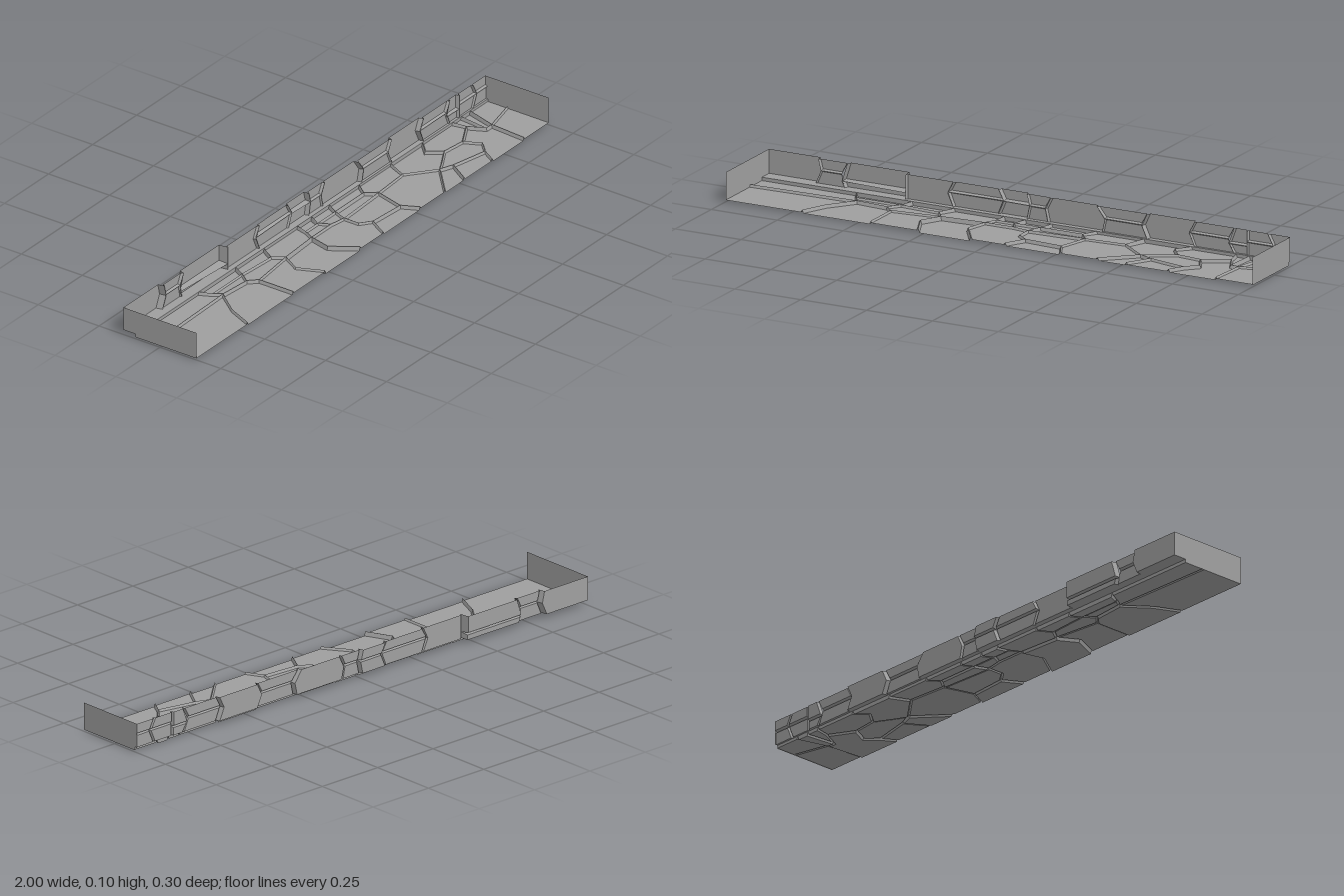
import * as THREE from 'three';

const material = new THREE.MeshStandardMaterial({ color: 0x9f9f9f, flatShading: true, side: THREE.DoubleSide });
const INSET = 0.45; // half the width of a joint, in hundredths like all outlines below

// Corners where the floor joints meet: x, z
const joints = [
  [-100, -10], [-100, -2], [-100, 15], [-64, -10], [-62, -6], [-60, -3], [-67, 6], [-71, 15],
  [-43, -10], [-45, -6], [-48, -2], [-45, 1], [-45, 15], [-27, -10], [-30, -5], [-27, -1],
  [-31, 6], [-27, 15], [-8, -10], [-9, -6], [-11, -2], [-13, 6], [-9, 12], [-7, 15],
  [0, -10], [-2, -6], [0, -2], [8, -6], [10, -10], [6, -1], [6, 5], [10, 8],
  [6, 15], [27, -10], [24, -6], [27, -2], [24, 9], [27, 15], [45, -10], [42, -3],
  [52, 5], [41, 15], [63, -10], [59, -6], [63, -1], [56, 3], [57, 7], [52, 15],
  [72, 0], [75, 6], [71, 10], [68, 15], [80, -10], [81, -5], [84, 1], [86, 15],
  [85, -10], [90, -10], [87, 1], [100, -10], [100, -2], [100, 15],
];
// Stones beside the wall, then stones towards the open front
const innerStones = [
  [0, 3, 4, 5, 1], [3, 8, 9, 4], [4, 9, 10, 5], [8, 13, 14, 9], [9, 14, 15, 11, 10],
  [13, 18, 19, 20, 15, 14], [18, 24, 25, 19], [19, 25, 26, 20], [24, 28, 27, 25], [25, 27, 29, 26],
  [28, 33, 34, 27], [27, 34, 35, 29], [33, 38, 39, 35, 34], [38, 42, 43, 44, 45, 40, 39],
  [42, 52, 53, 48, 44, 43], [52, 56, 54, 53], [56, 57, 58, 54], [57, 59, 60, 58],
];
const frontStones = [
  [1, 5, 6, 7, 2], [5, 10, 11, 12, 7, 6], [11, 15, 16, 17, 12], [15, 20, 21, 22, 23, 17, 16],
  [20, 26, 29, 30, 31, 32, 23, 22, 21], [29, 35, 36, 31, 30], [31, 36, 37, 32], [35, 39, 40, 41, 37, 36],
  [40, 46, 47, 41], [45, 44, 48, 49, 50, 46, 40], [46, 50, 51, 47],
  [48, 53, 54, 58, 55, 51, 50, 49], [58, 60, 61, 55],
];

// Wall seams: x at the top, middle and bottom
const seams = [
  [-100, -100, -100], [-80, -79, -81], [-69, -71, -70], [-46, -46, -46], [-28, -30, -28],
  [-11, -9, -11], [0, 1, 0], [9, 7, 8], [27, 30, 29], [46, 44, 46], [64, 62, 64],
  [79, 77, 79], [84, 84, 84], [92, 94, 92], [100, 100, 100],
];
// Per wall column: how far back it stands, and the height of its split (0 = one stone)
const columns = [
  [15, 0], [13.5, 6.5], [14.5, 4], [12, 0], [12.4, 6.7], [13, 6.5], [12, 6.5],
  [12, 0], [11.2, 6.5], [12, 0], [11.2, 6.5], [11.3, 5], [11, 6.5], [11, 6.5],
];

// Moves every edge of an outline inwards by its own distance
function insetOutline(pts, distances) {
  const n = pts.length;
  const sign = THREE.ShapeUtils.area(pts) > 0 ? 1 : -1;
  const lines = pts.map((p, i) => {
    const dir = pts[(i + 1) % n].clone().sub(p).normalize();
    const normal = new THREE.Vector2(-dir.y, dir.x).multiplyScalar(sign);
    return { dir, normal, start: p.clone().addScaledVector(normal, distances[i]) };
  });
  return pts.map((p, i) => {
    const a = lines[(i + n - 1) % n], b = lines[i];
    const cross = a.dir.cross(b.dir);
    if (Math.abs(cross) < 0.05) return p.clone().addScaledVector(b.normal, distances[i]);
    const t = b.start.clone().sub(a.start).cross(b.dir) / cross;
    return a.start.clone().addScaledVector(a.dir, t);
  });
}

// One stone: a flat face with bevelled sides running back to the joints.
// Each outline corner holds two coordinates and the depth of the joint there.
function stone(name, outline, depth, place, edgeRule) {
  const pts = outline.map(([u, v]) => new THREE.Vector2(u, v));
  const n = pts.length;
  const rules = pts.map((p, i) => edgeRule(p, pts[(i + 1) % n]));
  const face = insetOutline(pts, rules.map((r) => (r === 'joint' ? INSET : 0)));
  const pos = [];
  const add = (p, d) => pos.push(...place(p.x, p.y, d).map((c) => c / 100));
  for (const tri of THREE.ShapeUtils.triangulateShape(face, [])) tri.forEach((k) => add(face[k], depth));
  for (let i = 0; i < n; i++) {
    if (rules[i] === 'open') continue;
    const j = (i + 1) % n;
    const corner = [[pts[i], outline[i][2]], [pts[j], outline[j][2]], [face[j], depth], [face[i], depth]];
    [0, 1, 2, 0, 2, 3].forEach((k) => add(...corner[k]));
  }
  const geo = new THREE.BufferGeometry();
  geo.setAttribute('position', new THREE.Float32BufferAttribute(pos, 3));
  geo.computeVertexNormals();
  const mesh = new THREE.Mesh(geo, material);
  mesh.name = name;
  return mesh;
}

// Flat plate from an outline
function plate(name, outline) {
  const shape = new THREE.Shape(outline.map(([u, v]) => new THREE.Vector2(u, v)));
  const mesh = new THREE.Mesh(new THREE.ShapeGeometry(shape), material);
  mesh.name = name;
  return mesh;
}

const onLine = (axis, value) => (a, b) => a[axis] === value && b[axis] === value;
const atEnd = (a, b) => Math.abs(a.x) === 100 && a.x === b.x;

export function createModel() {
  const model = new THREE.Group();
  model.name = 'stoneTrim';

  // Floor of irregular flat stones, bulging downwards
  const floor = new THREE.Group();
  floor.name = 'floor';
  const front = onLine('y', 15), back = onLine('y', -10);
  const floorRule = (a, b) => (atEnd(a, b) || front(a, b) ? 'open' : back(a, b) ? 'flush' : 'joint');
  const heights = [0.6, 0.3, 0.8, 0.4, 0.7];
  const layFloor = (cells, name) => cells.forEach((cell, i) => {
    const height = name === 'frontStone' && i === 3 ? 0 : heights[i % heights.length];
    const outline = cell.map((k) => [...joints[k], joints[k][1] === -10 ? 1.8 : 1.5]);
    floor.add(stone(name, outline, height, (u, v, d) => [u, d, v], floorRule));
  });
  layFloor(innerStones, 'innerStone');
  layFloor(frontStones, 'frontStone');
  model.add(floor);

  // Back wall, standing further out towards the right end; each seam sits
  // just inside the shallower of its two neighbours
  const wall = new THREE.Group();
  wall.name = 'backWall';
  const top = onLine('y', 10.3), bottom = onLine('y', 1.8);
  const wallRule = (a, b) => (atEnd(a, b) || top(a, b) ? 'open' : bottom(a, b) ? 'flush' : 'joint');
  const seamDepths = seams.map((_, i) => {
    const beside = columns.slice(Math.max(0, i - 1), i + 1).map(([depth]) => depth);
    return -Math.max(10, Math.min(...beside) - 0.9);
  });
  const layWall = (outline, depth) =>
    wall.add(stone('wallStone', outline, -depth, (u, v, d) => [u, v, d], wallRule));
  columns.forEach(([depth, split], i) => {
    const mid = split || 6.2;
    const side = (k) => [10.3, mid, 1.8].map((y, row) => [seams[k][row], y, seamDepths[k]]);
    const [lt, lm, lb] = side(i), [rt, rm, rb] = side(i + 1);
    if (split) {
      layWall([lt, lm, rm, rt], depth);
      layWall([lm, lb, rb, rm], depth - 0.3);
    } else {
      layWall([lt, lm, lb, rb, rm, rt], depth);
    }
  });
  model.add(wall);

  // Ledge joining the floor's back edge to the foot of the wall
  const foot = seams.map((seam, i) => [seam[2] / 100, -seamDepths[i] / 100]);
  const ledge = plate('ledge', [[1, 0.1], [-1, 0.1], ...foot]);
  ledge.rotation.x = -Math.PI / 2;
  ledge.position.y = 0.018;
  model.add(ledge);

  // End panels
  for (const [name, x, reach] of [['rightEnd', -1, 0.15], ['leftEnd', 1, 0.11]]) {
    const panel = plate(name, [[-0.15, 0.006], [0.1, 0.006], [0.1, 0.018], [reach, 0.018], [reach, 0.103], [-0.15, 0.103]]);
    panel.rotation.y = Math.PI / 2;
    panel.position.x = x;
    model.add(panel);
  }
  return model;
}
